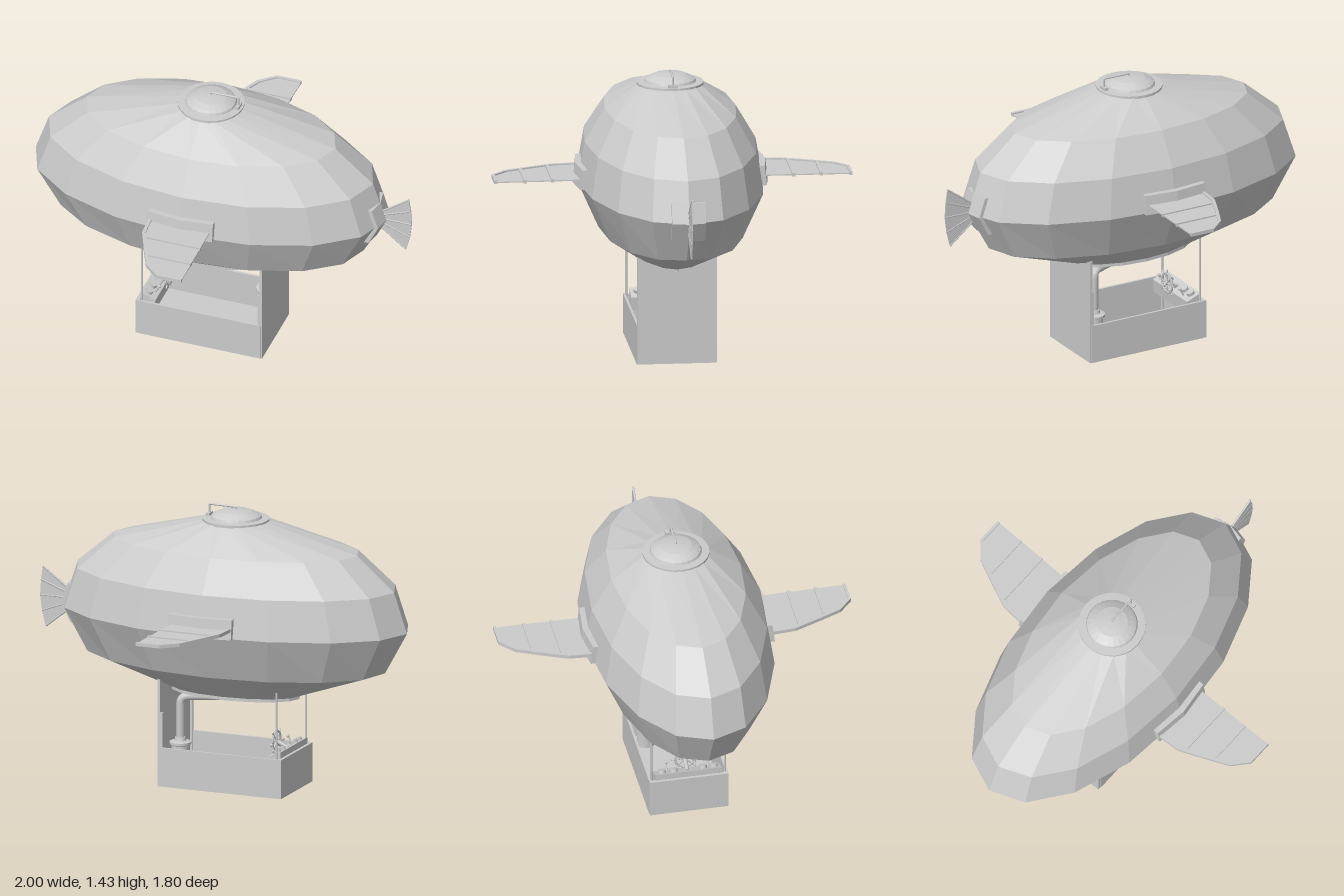
import * as THREE from 'three';

const CX = -0.07; // centre of the envelope along x
const grey = new THREE.MeshStandardMaterial({ color: 0xcccccc, flatShading: true, side: THREE.DoubleSide });
const smooth = new THREE.MeshStandardMaterial({ color: 0xcccccc, side: THREE.DoubleSide });
const V = (x, y, z) => new THREE.Vector3(x, y, z);

function add(parent, name, geo, x = 0, y = 0, z = 0, mat = grey) {
  const m = new THREE.Mesh(geo, mat);
  m.name = name;
  m.position.set(x, y, z);
  parent.add(m);
  return m;
}

function box(parent, name, w, h, d, x, y, z) {
  return add(parent, name, new THREE.BoxGeometry(w, h, d), x, y, z);
}

// Round bar between two points
function rod(parent, name, a, b, r) {
  const m = add(parent, name, new THREE.CylinderGeometry(r, r, a.distanceTo(b), 8), 0, 0, 0, smooth);
  m.position.copy(a).add(b).multiplyScalar(0.5);
  m.quaternion.setFromUnitVectors(V(0, 1, 0), b.clone().sub(a).normalize());
  return m;
}

// Pipe through points with rounded corners
function pipe(parent, name, pts, r, bend) {
  const path = new THREE.CurvePath();
  let last = pts[0];
  for (let i = 1; i < pts.length - 1; i++) {
    const p = pts[i];
    const a = p.clone().add(pts[i - 1].clone().sub(p).setLength(bend));
    const b = p.clone().add(pts[i + 1].clone().sub(p).setLength(bend));
    path.add(new THREE.LineCurve3(last, a));
    path.add(new THREE.QuadraticBezierCurve3(a, p, b));
    last = b;
  }
  path.add(new THREE.LineCurve3(last, pts[pts.length - 1]));
  return add(parent, name, new THREE.TubeGeometry(path, 60, r, 10), 0, 0, 0, smooth);
}

function plate(points, depth) {
  const s = new THREE.Shape(points.map(p => new THREE.Vector2(p[0], p[1])));
  return new THREE.ExtrudeGeometry(s, { depth, bevelEnabled: false });
}

// Pad bent by a rule so it follows the envelope
function bentPad(parent, name, size, segs, rule) {
  const g = new THREE.BoxGeometry(...size, ...segs);
  const p = g.attributes.position, v = V(0, 0, 0);
  for (let i = 0; i < p.count; i++) {
    rule(v.fromBufferAttribute(p, i));
    p.setXYZ(i, v.x, v.y, v.z);
  }
  g.computeVertexNormals();
  return add(parent, name, g);
}

// Faceted gas envelope: elliptical rings [y, x radius, z radius, sag at the sides]
function envelopeGeometry() {
  const rings = [[0.485, 0.34, 0.17, 0], [0.65, 0.81, 0.36, 0.02], [0.865, 0.93, 0.465, 0],
    [1.07, 0.86, 0.43, 0], [1.24, 0.66, 0.33, 0], [1.365, 0.16, 0.16, 0]];
  const N = 16, pos = [], index = [];
  for (const [y, rx, rz, sag] of rings)
    for (let i = 0; i < N; i++) {
      const a = i / N * Math.PI * 2;
      pos.push(CX + rx * Math.cos(a), y - sag * Math.abs(Math.sin(a)), rz * Math.sin(a));
    }
  for (let r = 0; r < rings.length - 1; r++)
    for (let i = 0; i < N; i++) {
      const a = r * N + i, b = r * N + (i + 1) % N;
      index.push(a, a + N, b + N, a, b + N, b);
    }
  const g = new THREE.BufferGeometry();
  g.setAttribute('position', new THREE.Float32BufferAttribute(pos, 3));
  g.setIndex(index);
  g.computeVertexNormals();
  return g;
}

function ellipsePoints(rx, rz, n) {
  return Array.from({ length: n }, (_, i) => {
    const a = i / n * Math.PI * 2;
    return new THREE.Vector2(rx * Math.cos(a), rz * Math.sin(a));
  });
}

function makeWing(s) {
  const g = new THREE.Group();
  g.name = s > 0 ? 'frontWing' : 'backWing';
  const edge = [[-0.24, 0.44], [-0.23, 0.58], [-0.17, 0.72], [-0.12, 0.83], [-0.04, 0.9], [0.09, 0.9]];
  const skin = plate([...edge, [0.085, 0.44]].map(([x, z]) => [x, z * s]), 0.006);
  skin.rotateX(Math.PI / 2);
  add(g, 'wingSkin', skin, 0, 0.915, 0);
  // Leading edge spar
  const inner = [[0.09, 0.885], [-0.035, 0.885], [-0.105, 0.82], [-0.155, 0.715], [-0.213, 0.575], [-0.223, 0.44]];
  const spar = plate([...edge, ...inner].map(([x, z]) => [x, z * s]), 0.018);
  spar.rotateX(Math.PI / 2);
  add(g, 'wingSpar', spar, 0, 0.922, 0);
  for (const [x, z] of [[-0.215, 0.605], [-0.14, 0.745]])
    box(g, 'wingRib', 0.09 - x, 0.018, 0.016, (0.09 + x) / 2, 0.913, z * s);
  bentPad(g, 'wingMount', [0.345, 0.1, 0.045], [2, 1, 1], v => {
    v.z = s * (v.z + 0.462 - 0.12 * Math.abs(v.x) - 0.12 * v.y);
    v.x = s * v.x + CX;
    v.y += 0.915;
  });
  return g;
}

function makeTail() {
  const g = new THREE.Group();
  g.name = 'tail';
  add(g, 'tailFin', plate([[0.83, 0.82], [0.965, 0.71], [0.985, 0.79], [0.995, 0.87], [0.99, 0.95],
    [0.98, 1.02], [0.83, 0.91]], 0.006), 0, 0, -0.003);
  for (const [y0, x, y] of [[0.82, 0.965, 0.712], [0.85, 0.985, 0.79], [0.87, 0.995, 0.87], [0.89, 0.99, 0.95], [0.91, 0.98, 1.018]])
    rod(g, 'tailRib', V(0.83, y0, 0), V(x, y, 0), 0.005);
  bentPad(g, 'tailMount', [0.04, 0.2, 0.17], [1, 2, 2], v => {
    v.x += 0.842 - 0.2 * Math.abs(v.z) - (v.y < 0 ? 0.5 : 0.33) * Math.abs(v.y);
    v.y += 0.865;
  });
  return g;
}

function makeHatch() {
  const g = new THREE.Group();
  g.name = 'topHatch';
  const profile = [[0, 1.35], [0.168, 1.35], [0.168, 1.372], [0.13, 1.374], [0.125, 1.386], [0.11, 1.395],
    [0.08, 1.409], [0.04, 1.415], [0, 1.418]].map(p => new THREE.Vector2(...p));
  add(g, 'hatchDome', new THREE.LatheGeometry(profile, 24), CX, 0, 0);
  pipe(g, 'hatchLever', [V(CX, 1.41, 0), V(CX, 1.428, 0), V(0.075, 1.43, 0), V(0.075, 1.36, 0)], 0.005, 0.006);
  box(g, 'hatchHinge', 0.02, 0.025, 0.05, 0.075, 1.375, 0);
  return g;
}

function makeBasket() {
  const g = new THREE.Group();
  g.name = 'basket';
  box(g, 'floor', 0.65, 0.012, 0.39, -0.065, 0.007, 0);
  box(g, 'noseWall', 0.02, 0.2, 0.4, -0.39, 0.1, 0);
  for (const s of [-1, 1]) {
    box(g, 'sideWall', 0.645, 0.2, 0.012, -0.06, 0.1, s * 0.196);
    rod(g, 'hangerPole', V(-0.37, 0.02, s * 0.188), V(-0.37, 0.55, s * 0.188), 0.006);
    box(g, 'cornerPost', 0.014, 0.38, 0.012, 0.253, 0.19, s * 0.19);
  }
  // Tall rear wall cut to the curve of the envelope
  const top = [-0.2, -0.13, -0.07, 0, 0.07, 0.13, 0.2].map(z => [z, 0.488 + 1.75 * z * z]);
  const wall = plate([[0.2, 0], [-0.2, 0], ...top], 0.012);
  wall.rotateY(Math.PI / 2);
  add(g, 'rearWall', wall, 0.259, 0, 0);
  return g;
}

function makeControls() {
  const g = new THREE.Group();
  g.name = 'controls';
  // Sloping console
  add(g, 'console', plate([[-0.385, 0.13], [-0.31, 0.13], [-0.305, 0.2], [-0.385, 0.232]], 0.34), 0, 0, -0.17);
  for (const z of [-0.13, -0.07, 0.08, 0.135]) {
    const dial = add(g, 'dial', new THREE.CylinderGeometry(0.02, 0.02, 0.025, 12), -0.35, 0.222, z, smooth);
    dial.rotation.z = -0.38;
  }
  for (const z of [-0.1, 0.045, 0.11]) {
    rod(g, 'lever', V(-0.33, 0.2, z), V(-0.305, 0.245, z), 0.004);
    add(g, 'leverKnob', new THREE.SphereGeometry(0.009, 8, 6), -0.305, 0.245, z, smooth);
  }
  // Steering wheel with grips
  const wheel = add(g, 'steeringWheel', new THREE.TorusGeometry(0.05, 0.006, 6, 20), -0.29, 0.245, 0, smooth);
  wheel.rotation.y = Math.PI / 2;
  for (let i = 0; i < 4; i++) {
    const a = i * Math.PI / 4, y = 0.072 * Math.cos(a), z = 0.072 * Math.sin(a);
    rod(g, 'wheelSpoke', V(-0.29, 0.245 - y, -z), V(-0.29, 0.245 + y, z), 0.004);
  }
  rod(g, 'wheelAxle', V(-0.35, 0.215, 0), V(-0.28, 0.248, 0), 0.01);
  return g;
}

function makeBurner() {
  const g = new THREE.Group();
  g.name = 'burner';
  pipe(g, 'gasPipe', [V(0.19, 0.2, -0.1), V(0.19, 0.45, -0.1), V(-0.045, 0.45, 0), V(-0.045, 0.5, 0)], 0.021, 0.04);
  const profile = [[0, 0.012], [0.045, 0.012], [0.045, 0.2], [0.055, 0.205], [0.055, 0.217], [0.03, 0.222], [0.026, 0.24], [0, 0.24]];
  add(g, 'boiler', new THREE.LatheGeometry(profile.map(p => new THREE.Vector2(...p)), 16), 0.19, 0, -0.1);
  rod(g, 'valve', V(0.19, 0.26, -0.1), V(0.19, 0.26, -0.06), 0.006);
  return g;
}

export function createModel() {
  const model = new THREE.Group();
  model.name = 'airship';
  add(model, 'envelope', envelopeGeometry());

  // Rim and cross bar of the opening underneath
  const rim = new THREE.Shape(ellipsePoints(0.345, 0.175, 16));
  rim.holes.push(new THREE.Path(ellipsePoints(0.31, 0.145, 16)));
  const rimGeo = new THREE.ExtrudeGeometry(rim, { depth: 0.022, bevelEnabled: false });
  rimGeo.rotateX(Math.PI / 2);
  add(model, 'openingRim', rimGeo, CX, 0.494, 0);
  box(model, 'openingBar', 0.02, 0.014, 0.31, -0.045, 0.487, 0);

  model.add(makeHatch(), makeWing(1), makeWing(-1), makeTail(), makeBasket(), makeControls(), makeBurner());
  return model;
}
